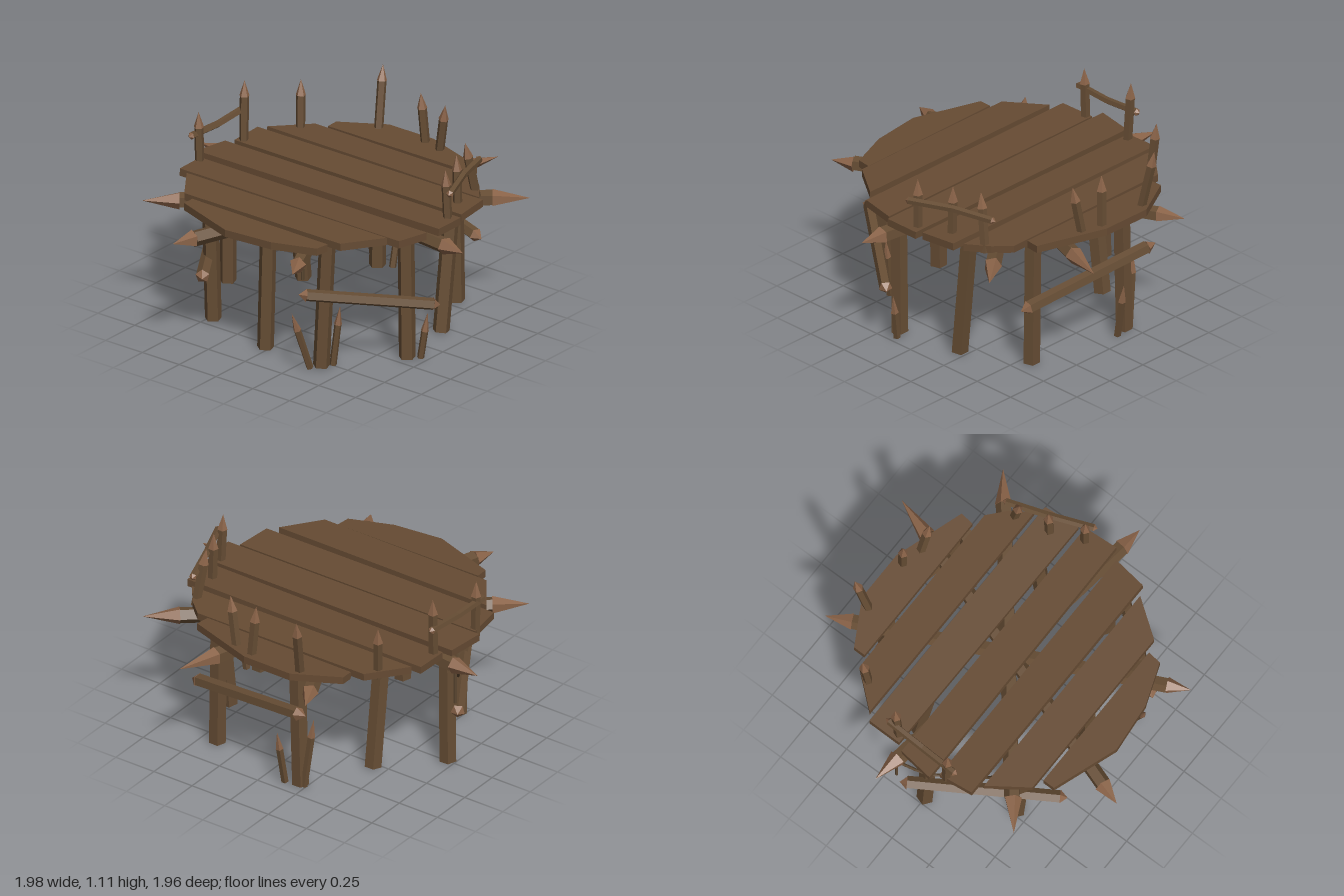
import * as THREE from 'three';

const mat = (name, color) => {
  const m = new THREE.MeshStandardMaterial({ color, flatShading: true });
  m.name = name;
  return m;
};

export function createModel() {
  const plankWood = mat('plank wood', 0x664b33);
  const logWood = mat('log wood', 0x664d34);
  const cutWood = mat('cut wood', 0x8a6348);
  const ropeFibre = mat('rope', 0x5a4630);
  const model = new THREE.Group();
  model.name = 'spikedPlatform';

  const add = (parent, name, geometry, material) => {
    const mesh = new THREE.Mesh(geometry, material);
    mesh.name = name;
    parent.add(mesh);
    return mesh;
  };

  // Log from a to b, with an optional sharpened point inside each end
  const log = (name, a, b, r, startPoint = 0, endPoint = 0, sides = 5) => {
    const from = new THREE.Vector3(...a), to = new THREE.Vector3(...b);
    const dir = to.clone().sub(from);
    const len = dir.length();
    const g = new THREE.Group();
    g.name = name;
    g.position.copy(from);
    g.quaternion.setFromUnitVectors(new THREE.Vector3(0, 1, 0), dir.normalize());
    const bodyLen = len - startPoint - endPoint;
    const body = new THREE.CylinderGeometry(r, r, bodyLen, sides);
    add(g, name + 'Shaft', body.translate(0, startPoint + bodyLen / 2, 0), logWood);
    if (endPoint) {
      const tip = new THREE.ConeGeometry(r * 1.1, endPoint, sides);
      add(g, name + 'Point', tip.translate(0, len - endPoint / 2, 0), cutWood);
    }
    if (startPoint) {
      const tip = new THREE.ConeGeometry(r * 1.1, startPoint, sides).rotateX(Math.PI);
      add(g, name + 'Point', tip.translate(0, startPoint / 2, 0), cutWood);
    }
    model.add(g);
    return g;
  };

  // Deck planks: outline in x and z, top height, tilt about x and about z
  const planks = [
    [[[-.49, -.65], [-.24, -.79], [.06, -.79], [.46, -.66], [.45, -.58], [-.49, -.58]], .762, .02, .004],
    [[[-.73, -.36], [-.56, -.56], [.53, -.56], [.62, -.48], [.71, -.36]], .764, -.03, -.006],
    [[[-.77, -.33], [.76, -.33], [.78, -.12], [-.77, -.13]], .765, .03, .003],
    [[[-.8, -.09], [.8, -.09], [.81, .11], [-.83, .12]], .766, -.04, 0],
    [[[-.78, .15], [.76, .15], [.73, .35], [-.76, .35]], .758, -.06, -.004],
    [[[-.69, .38], [.67, .38], [.52, .59], [-.54, .59]], .772, .01, .002],
    [[[-.47, .61], [.45, .61], [.44, .69], [.2, .78], [-.09, .81], [-.47, .68]], .76, 0, -.008],
  ];
  for (const [outline, top, tiltX, tiltZ] of planks) {
    const zMid = (outline[0][1] + outline[outline.length - 1][1]) / 2;
    const shape = new THREE.Shape(outline.map(([x, z]) => new THREE.Vector2(x, z - zMid)));
    const geo = new THREE.ExtrudeGeometry(shape, { depth: .042, bevelEnabled: false });
    const plank = add(model, 'deckPlank', geo.rotateX(Math.PI / 2), plankWood);
    plank.position.set(0, top, zMid);
    plank.rotation.set(tiltX, 0, tiltZ);
  }

  // Crossing beams under the deck, sharpened at both ends
  log('beam', [-.31, .675, .98], [.35, .675, -.98], .045, .13, .24);
  log('beam', [.44, .68, .9], [-.42, .68, -.9], .042, .13, .15);
  log('beam', [-.78, .68, .65], [.82, .68, -.66], .045, .2, .2);
  log('beam', [-.99, .685, -.12], [.99, .685, .13], .045, .17, .14);

  // Legs: foot x, foot z, head x, head z
  const legs = [
    [.36, .55, .4, .55], [-.02, .55, 0, .55], [-.47, .43, -.46, .47],
    [-.71, 0, -.69, .02], [-.42, -.28, -.42, -.19], [-.21, -.65, -.19, -.65],
    [.4, -.56, .39, -.56], [.58, -.2, .59, -.28], [.65, .18, .65, .19],
  ];
  for (const [x, z, hx, hz] of legs) log('leg', [x, 0, z], [hx, .725, hz], .047);

  // Slanted braces between neighbouring legs
  log('brace', [-.83, .365, -.08], [-.35, .35, .68], .036, .04, .04);
  log('brace', [-.33, .52, -.77], [.53, .375, -.61], .036, .06, .05);
  log('brace', [.34, .47, .72], [.82, .33, .11], .034, .04, .04);

  // Small stakes leaning out around some of the feet
  const stakes = [
    [[.33, 0, .61], [.285, .34, .71]], [[.4, 0, .5], [.44, .35, .49]],
    [[.71, 0, .14], [.75, .27, .13]], [[-.24, 0, -.66], [-.29, .42, -.64]],
    [[-.13, 0, -.68], [-.12, .33, -.74]],
  ];
  for (const [a, b] of stakes) log('groundStake', a, b, .02, 0, .11);

  // Pointed posts standing around the deck edge
  const posts = [
    [[-.26, .71, -.72], [-.29, 1.1, -.8]], [[.05, .71, -.74], [.03, 1.05, -.72]],
    [[.16, .71, -.71], [.22, 1.04, -.69]], [[-.59, .71, -.47], [-.61, 1.03, -.5]],
    [[-.73, .71, -.16], [-.74, 1.1, -.18]], [[-.76, .71, .18], [-.76, 1.04, .19]],
    [[.63, .71, -.44], [.6, 1.04, -.38]], [[.67, .71, -.23], [.66, 1.04, -.23]],
    [[.745, .71, -.05], [.735, 1.04, -.04]],
  ];
  for (const [a, b] of posts) log('deckPost', a, b, .026, 0, .09);

  // Side rails, each two poles meeting at a slight bend
  const rails = [
    [[.61, .91, -.5], [.69, .925, -.25], [.79, .92, 0]],
    [[-.755, .93, -.23], [-.76, .91, .02], [-.77, .915, .26]],
  ];
  for (const [a, b, c] of rails) {
    log('handRail', a, b, .02, .02, 0);
    log('handRail', b, c, .02, 0, .02);
  }

  // Sagging rope and loose hanging ends
  const rope = (name, points, steps) => {
    const curve = new THREE.CatmullRomCurve3(points.map(p => new THREE.Vector3(...p)));
    add(model, name, new THREE.TubeGeometry(curve, steps, .009, 5), ropeFibre);
  };
  rope('saggingRope', [[-.83, .66, -.08], [-.75, .52, .04], [-.65, .46, .16], [-.57, .5, .3], [-.53, .66, .42]], 12);
  rope('ropeEnd', [[-.83, .66, -.1], [-.83, .45, -.1]], 1);
  rope('ropeEnd', [[-.52, .66, .43], [-.52, .51, .43]], 1);
  rope('ropeEnd', [[.32, .66, .66], [.32, .53, .66]], 1);

  return model;
}
